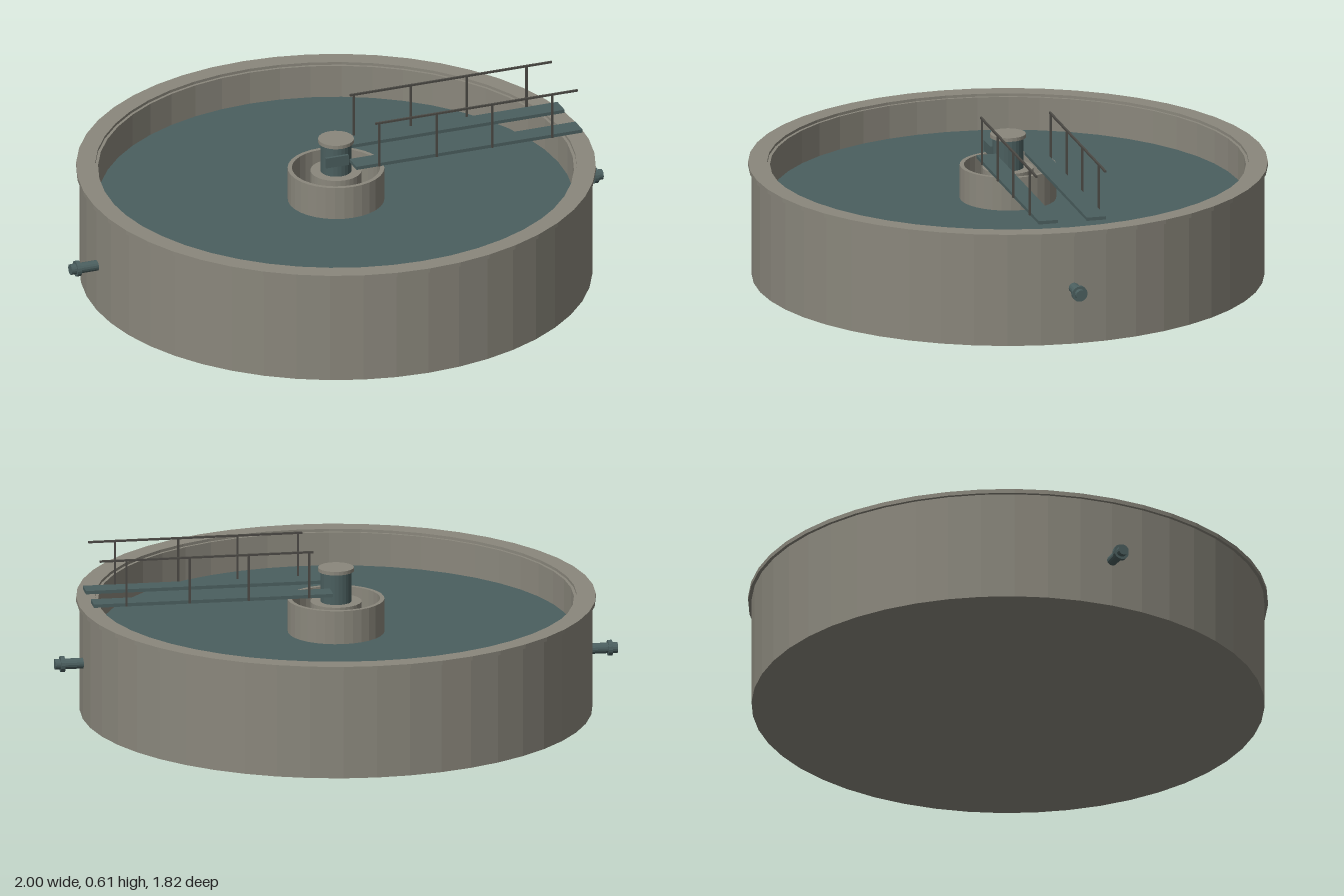
import * as THREE from 'three';

const concrete = new THREE.MeshStandardMaterial({ color: 0x8a877c, flatShading: true });
concrete.name = 'concrete';
const teal = new THREE.MeshStandardMaterial({ color: 0x4b5f5f, flatShading: true });
teal.name = 'teal';
const railing = new THREE.MeshStandardMaterial({ color: 0x4c4a45, flatShading: true });
railing.name = 'railing';

export function createModel() {
  const root = new THREE.Group();
  root.name = 'settlingTank';

  function add(name, geometry, material, x = 0, y = 0, z = 0, parent = root) {
    const mesh = new THREE.Mesh(geometry, material);
    mesh.name = name;
    mesh.position.set(x, y, z);
    parent.add(mesh);
    return mesh;
  }
  const lathe = (points, sides) =>
    new THREE.LatheGeometry(points.map(([r, y]) => new THREE.Vector2(r, y)), sides);
  const box = (w, h, d) => new THREE.BoxGeometry(w, h, d);

  // Round basin: floor, outer wall and inner wall
  add('tankWall', lathe([[0, 0], [0.9, 0], [0.9, 0.4], [0.835, 0.4], [0.835, 0.05], [0, 0.05]], 48), concrete);

  // Coping ring on top of the wall
  add('rim', lathe([[0.845, 0.395], [0.912, 0.395], [0.912, 0.41], [0.845, 0.41], [0.845, 0.395]], 48), concrete);

  // Water surface
  const water = add('water', new THREE.CircleGeometry(0.836, 48), teal, 0, 0.28, 0);
  water.rotation.x = -Math.PI / 2;

  // Feed well around the centre, with the pier and drive column inside
  add('feedWell', lathe([[0.155, 0.24], [0.17, 0.24], [0.17, 0.4], [0.155, 0.4], [0.155, 0.24]], 32), concrete);
  add('pier', new THREE.CylinderGeometry(0.09, 0.09, 0.34, 32), concrete, 0, 0.22, 0);
  add('driveColumn', new THREE.CylinderGeometry(0.055, 0.055, 0.115, 24), teal, 0, 0.4425, 0);
  add('columnCap', new THREE.CylinderGeometry(0.063, 0.063, 0.013, 24), concrete, 0, 0.5065, 0);
  add('controlPanel', box(0.085, 0.038, 0.01), teal, -0.022, 0.457, 0.066);

  // Access bridge: a plank and a handrail on each side
  for (const side of [1, -1]) {
    const bridge = new THREE.Group();
    bridge.name = side > 0 ? 'frontWalkway' : 'backWalkway';
    root.add(bridge);
    add('plank', box(0.85, 0.012, 0.07), teal, 0.455, 0.445, side * 0.087, bridge);
    add('handrail', box(0.76, 0.007, 0.007), railing, 0.48, 0.608, side * 0.125, bridge);
    for (const x of [0.115, 0.33, 0.54, 0.765]) {
      add('railPost', box(0.007, 0.166, 0.007), railing, x, 0.524, side * 0.125, bridge);
    }
  }

  // Pipe stubs with a collar near the end
  for (const [name, side, y] of [['outletPipe', 1, 0.204], ['inletPipe', -1, 0.174]]) {
    const pipe = new THREE.Group();
    pipe.name = name;
    root.add(pipe);
    const stub = add('pipe', new THREE.CylinderGeometry(0.019, 0.019, 0.13, 16), teal, side * 0.935, y, 0, pipe);
    const collar = add('collar', new THREE.CylinderGeometry(0.028, 0.028, 0.015, 16), teal, side * 0.973, y, 0, pipe);
    stub.rotation.z = collar.rotation.z = Math.PI / 2;
  }

  return root;
}
